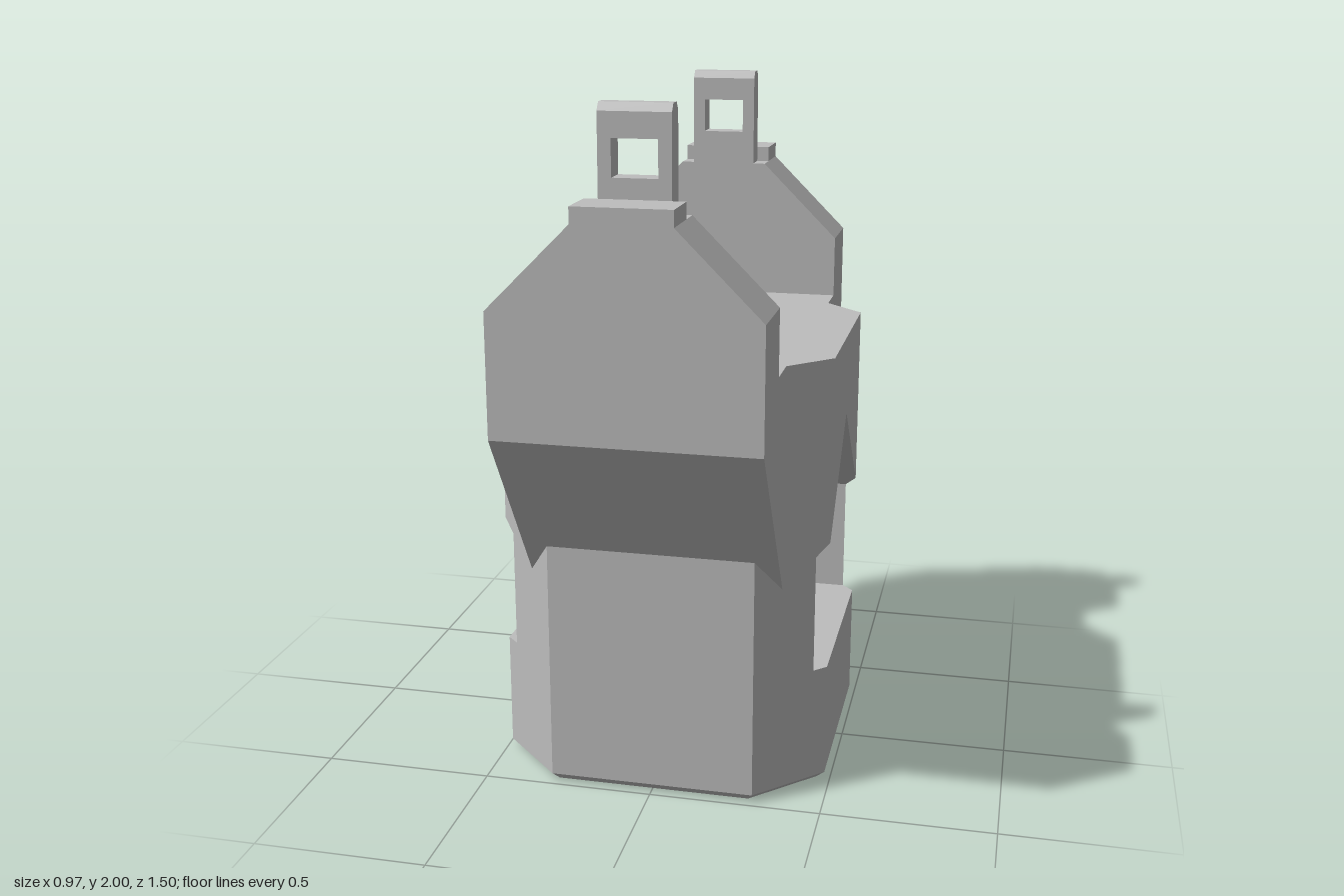
import * as THREE from 'three';

const grey = new THREE.MeshStandardMaterial({ color: 0xbdbdbd, side: THREE.DoubleSide });
grey.name = 'grey plastic';

const TOP = 1.29, SILL = 0.365, PEAK = 1.05, JAMB = 0.335; // body and side window
const DOME_Y = 0.84, DOME_R = 0.29;                        // domed bore above the window

const toShape = (pts, hole) => {
  const s = new THREE.Shape(pts.map(p => new THREE.Vector2(...p)));
  if (hole) s.holes.push(new THREE.Path(hole.map(p => new THREE.Vector2(...p))));
  return s;
};
const extrude = (pts, depth, hole) =>
  new THREE.ExtrudeGeometry(toShape(pts, hole), { depth, bevelEnabled: false });

// plan outline (x, z) raised from y0 to y1
const upright = (pts, y0, y1, hole) =>
  extrude(pts, y1 - y0, hole).rotateX(Math.PI / 2).translate(0, y1, 0);
// side outline (z, y) spanning x = -half .. half
const sideways = (pts, half) =>
  extrude(pts, half * 2).rotateY(-Math.PI / 2).translate(half, 0, 0);

// octagon with half width h and corner cut c
const octagon = (h, c) => {
  const f = h - c;
  return [[h, -f], [h, f], [f, h], [-f, h], [-h, f], [-h, -f], [-f, -h], [f, -h]];
};

const add = (group, name, geometry) => {
  const m = new THREE.Mesh(geometry, grey);
  m.name = name;
  group.add(m);
  return m;
};

// four-cornered flat panels
function panels(quads) {
  const pos = quads.flatMap(([a, b, c, d]) => [a, b, c, a, c, d].flat());
  const g = new THREE.BufferGeometry();
  g.setAttribute('position', new THREE.Float32BufferAttribute(pos, 3));
  g.computeVertexNormals();
  return g;
}

// radius and height of the dome's lower rim, where it meets the sloped window roof
function domeRim(s) {
  const k = (PEAK - DOME_Y) / DOME_R;
  if (s > k) return { e: 0, y: PEAK - DOME_R * s };
  const e = Math.asin(k / Math.hypot(1, s)) - Math.atan(s);
  return { e, y: DOME_Y + DOME_R * Math.sin(e) };
}

// dome: every column starts at its own rim height and rises to the apex
function domeGeometry() {
  const rows = 12, cols = 48;
  const g = new THREE.LatheGeometry(
    Array.from({ length: rows + 1 }, (_, i) => new THREE.Vector2(1, i)), cols);
  const p = g.attributes.position;
  for (let i = 0; i < p.count; i++) {
    const x = p.getX(i), z = p.getZ(i), row = Math.round(p.getY(i));
    const rim = domeRim(Math.abs(z));
    const e = row === 0 ? rim.e : rim.e + (Math.PI / 2 - rim.e) * (row - 1) / (rows - 1);
    const r = DOME_R * Math.cos(e);
    p.setXYZ(i, x * r, row === 0 ? rim.y : DOME_Y + DOME_R * Math.sin(e), z * r);
  }
  g.computeVertexNormals();
  return g;
}

// one sloped half of the window roof, with the dome opening cut out
function roofGeometry() {
  const pts = [[0.485, 0], [0.485, 0.3], [0.45, JAMB], [-0.45, JAMB], [-0.485, 0.3], [-0.485, 0]];
  for (let i = 0; i <= 24; i++) {
    const a = Math.PI * (1 - i / 24), s = Math.sin(a);
    const r = DOME_R * Math.cos(domeRim(s).e);
    pts.push([r * Math.cos(a), r * s]);
  }
  const g = new THREE.ShapeGeometry(toShape(pts));
  const p = g.attributes.position;
  for (let i = 0; i < p.count; i++) {
    const z = p.getY(i);
    p.setXYZ(i, p.getX(i), PEAK - z, z);
  }
  g.computeVertexNormals();
  return g;
}

// everything on the front half
function makeHalf() {
  const half = new THREE.Group();

  // solid wall beside the window
  add(half, 'bodyWall', upright(
    [[0.45, JAMB], [0.3, 0.485], [-0.3, 0.485], [-0.45, JAMB]], SILL, TOP));

  // walls above the window, flat and chamfered
  const quads = [];
  for (const s of [1, -1]) {
    const q = [
      [[0.485, PEAK, 0], [0.485, TOP, 0], [0.485, TOP, 0.3], [0.485, PEAK - 0.3, 0.3]],
      [[0.485, PEAK - 0.3, 0.3], [0.485, TOP, 0.3], [0.45, TOP, JAMB], [0.45, PEAK - JAMB, JAMB]],
    ].map(f => f.map(([x, y, z]) => [x * s, y, z]));
    quads.push(...q.map(f => (s > 0 ? f : f.reverse())));
  }
  add(half, 'upperSideWalls', panels(quads));
  add(half, 'windowRoof', roofGeometry());

  // flared bracket, its upright plate and top cap
  add(half, 'flaredBracket', sideways(
    [[0.415, 0.64], [0.75, 1.13], [0.75, TOP], [0.415, TOP]], 0.368));
  add(half, 'bracketPlate', extrude(
    [[-0.368, TOP], [0.368, TOP], [0.368, 1.477], [0.135, 1.71], [-0.135, 1.71], [-0.368, 1.477]],
    0.21).translate(0, 0, 0.54));
  add(half, 'bracketCap', new THREE.BoxGeometry(0.27, 0.045, 0.14).translate(0, 1.7325, 0.68));

  // lug with a square eye and bevelled top
  const eye = [[-0.062, 1.81], [-0.062, 1.91], [0.062, 1.91], [0.062, 1.81]];
  add(half, 'lug', extrude(
    [[-0.098, 1.71], [0.098, 1.71], [0.098, 1.978], [-0.098, 1.978]], 0.07, eye)
    .translate(0, 0, 0.54));
  add(half, 'lugTop', sideways(
    [[0.54, 1.978], [0.61, 1.978], [0.593, 2], [0.557, 2]], 0.098));
  return half;
}

export function createModel() {
  const model = new THREE.Group();
  model.name = 'octagonalHousing';

  // hollow lower ring
  add(model, 'lowerRing', upright(octagon(0.485, 0.185), 0.025, SILL, octagon(0.365, 0.118)));

  // foot with a chamfered outer edge and a stepped, wider opening
  const foot = upright(octagon(0.485, 0.185), 0, 0.025, octagon(0.385, 0.127));
  const p = foot.attributes.position;
  for (let i = 0; i < p.count; i++) {
    const x = p.getX(i), z = p.getZ(i);
    if (p.getY(i) < 0.01 && Math.max(Math.abs(x), Math.abs(z)) > 0.42) {
      p.setX(i, x * 0.95);
      p.setZ(i, z * 0.95);
    }
  }
  foot.computeVertexNormals();
  add(model, 'foot', foot);

  // deck and domed bore
  add(model, 'deck', new THREE.ShapeGeometry(toShape(octagon(0.485, 0.185)))
    .rotateX(-Math.PI / 2).translate(0, TOP, 0));
  add(model, 'domedBore', domeGeometry());

  // bracket bridge filling the deck out to each plate, then both halves
  for (const [name, turn] of [['frontHalf', 0], ['backHalf', Math.PI]]) {
    const half = makeHalf();
    half.name = name;
    half.rotation.y = turn;
    model.add(half);
  }
  return model;
}
